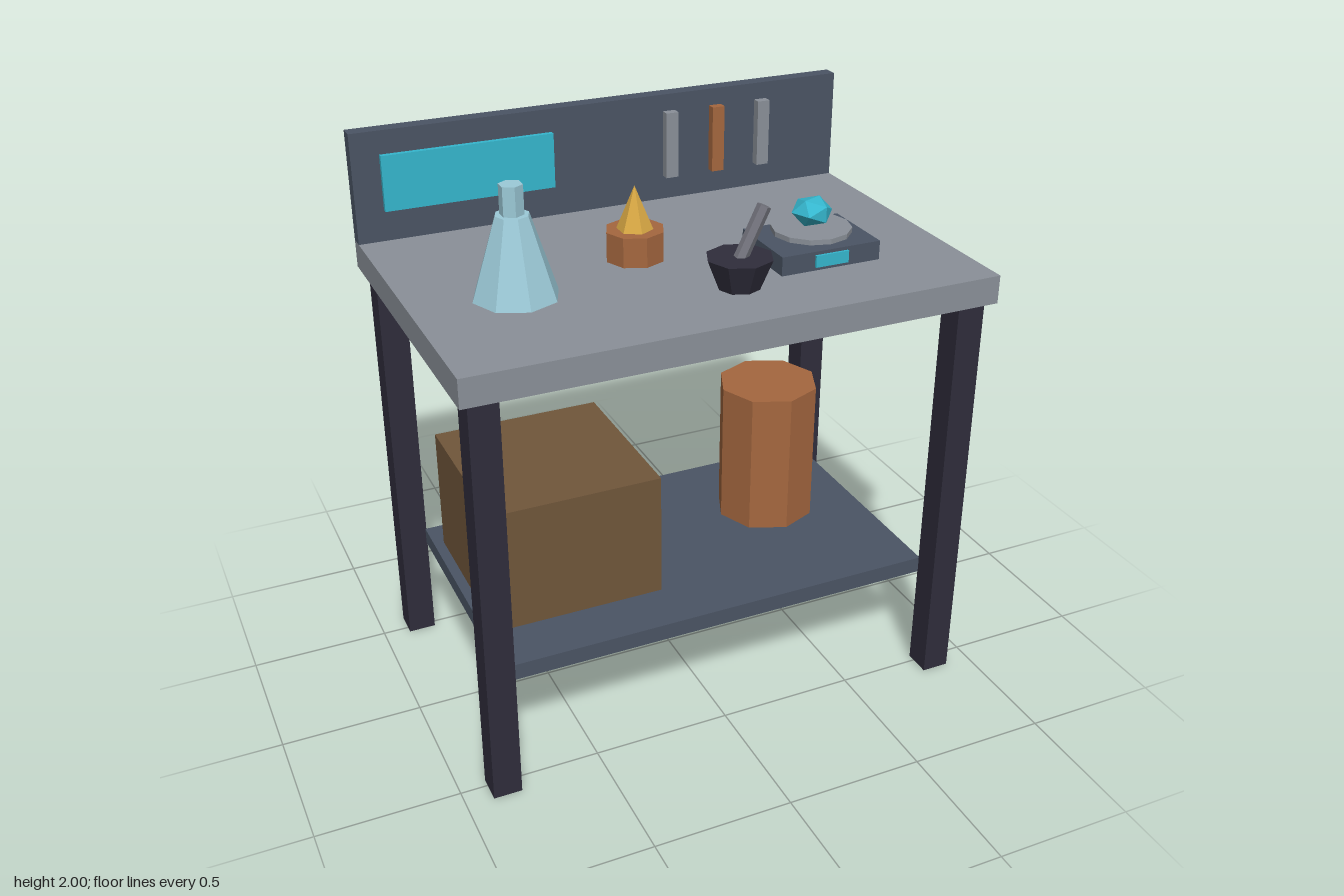
import * as THREE from 'three';

const paint = (name, color) => {
  const m = new THREE.MeshStandardMaterial({ color, flatShading: true });
  m.name = name;
  return m;
};

export function createModel() {
  const stone = paint('stone grey', 0x8a9098);
  const steel = paint('slate steel', 0x4a5464);
  const iron = paint('dark iron', 0x2f2d3b);
  const wood = paint('crate brown', 0x70563a);
  const copper = paint('copper', 0xa4673f);
  const glass = paint('pale glass', 0x9ccad8);
  const gold = paint('gold', 0xd8a844);
  const cyan = paint('cyan', 0x35b6cd);
  const pewter = paint('pewter', 0x74757e);

  const model = new THREE.Group();
  model.name = 'workbench';

  const add = (parent, name, geometry, material, x, y, z) => {
    const mesh = new THREE.Mesh(geometry, material);
    mesh.name = name;
    mesh.position.set(x, y, z);
    parent.add(mesh);
    return mesh;
  };
  // box and prism are both placed by the centre of their base
  const box = (parent, name, material, w, h, d, x, y, z) =>
    add(parent, name, new THREE.BoxGeometry(w, h, d), material, x, y + h / 2, z);
  const prism = (parent, name, material, rTop, rBase, h, sides, x, y, z) =>
    add(parent, name, new THREE.CylinderGeometry(rTop, rBase, h, sides), material, x, y + h / 2, z);
  const group = (name, x, y, z) => {
    const g = new THREE.Group();
    g.name = name;
    g.position.set(x, y, z);
    model.add(g);
    return g;
  };

  // Bench frame
  const TOP = 1.604;
  box(model, 'tabletop', stone, 1.87, 0.1, 1.2, 0, TOP - 0.1, 0);
  box(model, 'backboard', steel, 1.87, 2 - TOP, 0.056, 0, TOP, -0.572);
  box(model, 'lowerShelf', steel, 1.615, 0.06, 0.945, 0, 0.39, 0);
  for (const sx of [-1, 1])
    for (const sz of [-1, 1])
      box(model, `${sz > 0 ? 'front' : 'back'}${sx > 0 ? 'Left' : 'Right'}Leg`, iron,
        0.1, TOP - 0.1, 0.1, sx * 0.854, 0, sz * 0.521);

  // Stored goods on the shelf
  box(model, 'crate', wood, 0.62, 0.462, 0.624, -0.46, 0.45, -0.042);
  prism(model, 'canister', copper, 0.187, 0.187, 0.542, 8, 0.457, 0.45, -0.104);

  // Backboard fittings
  box(model, 'wallScreen', cyan, 0.625, 0.2, 0.02, -0.523, 1.716, -0.535);
  [[0.246, stone], [0.433, copper], [0.62, stone]].forEach(([x, m], i) =>
    box(model, `hangingTool${i + 1}`, m, 0.048, 0.245, 0.034, x, 1.693, -0.528));

  // Flask
  const flask = group('flask', -0.583, TOP, 0.1);
  prism(flask, 'flaskBody', glass, 0.057, 0.146, 0.278, 8, 0, 0, 0);
  prism(flask, 'flaskNeck', glass, 0.04, 0.04, 0.1, 6, 0, 0.277, 0);

  // Burner with its pointed flame
  const burner = group('burner', -0.105, TOP, -0.045);
  prism(burner, 'burnerBase', copper, 0.104, 0.104, 0.105, 8, 0, 0, 0);
  add(burner, 'flame', new THREE.ConeGeometry(0.063, 0.152, 6), gold, 0, 0.181, 0);

  // Mortar and leaning pestle
  const mortar = group('mortarAndPestle', 0.104, TOP, 0.327);
  prism(mortar, 'mortar', iron, 0.114, 0.072, 0.106, 8, 0, 0, 0);
  const pestle = prism(mortar, 'pestle', pewter, 0.024, 0.024, 0.24, 6, 0.032, 0.038, 0);
  pestle.rotation.z = -0.45;

  // Weighing scale carrying a crystal
  const scale = group('weighingScale', 0.457, TOP, 0.165);
  box(scale, 'scaleBase', steel, 0.372, 0.067, 0.29, 0, 0, 0);
  box(scale, 'scaleDisplay', cyan, 0.124, 0.042, 0.009, 0, 0.013, 0.1495);
  prism(scale, 'scaleStem', steel, 0.05, 0.05, 0.018, 8, 0, 0.067, 0);
  prism(scale, 'scalePan', stone, 0.139, 0.139, 0.018, 12, 0, 0.082, 0);
  const crystal = add(scale, 'crystal', new THREE.IcosahedronGeometry(0.073), cyan, 0, 0.153, 0);
  crystal.scale.y = 0.72;
  crystal.rotation.y = 0.4;

  return model;
}
